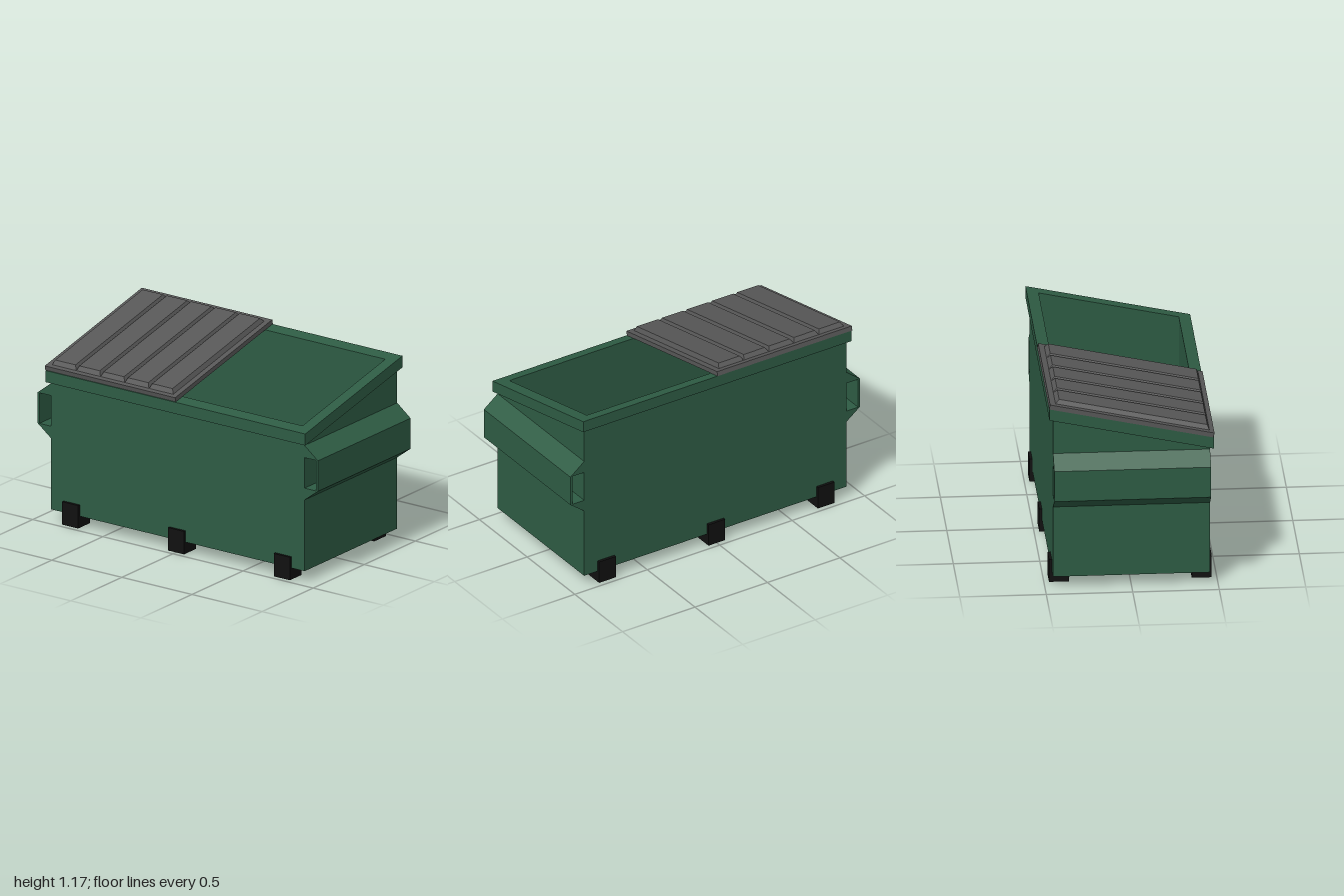
import * as THREE from 'three';

const SLOPE = 0.215; // rise of the rim per unit of x

// Rectangular hollow frame from y0 to y1; chosen vertices follow the slope
function slopedFrame(halfX, halfZ, y0, y1, slopeBottom) {
  const rect = (P, x, z) => new P([[-x, -z], [x, -z], [x, z], [-x, z]].map(p => new THREE.Vector2(...p)));
  const shape = rect(THREE.Shape, halfX, halfZ);
  shape.holes.push(rect(THREE.Path, 0.405, 0.855));
  const geo = new THREE.ExtrudeGeometry(shape, { depth: y1 - y0, bevelEnabled: false });
  geo.rotateX(-Math.PI / 2).translate(0, y0, 0);
  const p = geo.attributes.position;
  const mid = (y0 + y1) / 2;
  for (let i = 0; i < p.count; i++) {
    if (slopeBottom || p.getY(i) > mid) p.setY(i, p.getY(i) + SLOPE * p.getX(i));
  }
  geo.computeVertexNormals();
  return geo;
}

// Box whose top face is drawn in to leave bevelled sides
function bevelledPanel(w, h, d, bevelX, bevelZ) {
  const geo = new THREE.BoxGeometry(w, h, d).toNonIndexed();
  const p = geo.attributes.position;
  for (let i = 0; i < p.count; i++) {
    if (p.getY(i) > 0) {
      p.setX(i, p.getX(i) - Math.sign(p.getX(i)) * bevelX);
      p.setZ(i, p.getZ(i) - Math.sign(p.getZ(i)) * bevelZ);
    }
  }
  geo.computeVertexNormals();
  return geo;
}

export function createModel() {
  const green = new THREE.MeshStandardMaterial({ name: 'green paint', color: 0x2e5c44 });
  const grey = new THREE.MeshStandardMaterial({ name: 'grey plastic', color: 0x575757 });
  const black = new THREE.MeshStandardMaterial({ name: 'black steel', color: 0x101010 });

  const model = new THREE.Group();
  model.name = 'wasteContainer';
  const add = (parent, name, geo, mat, x = 0, y = 0, z = 0) => {
    const mesh = new THREE.Mesh(geo, mat);
    mesh.name = name;
    mesh.position.set(x, y, z);
    parent.add(mesh);
    return mesh;
  };

  // Open bin with a sloping top edge, floor and overhanging rim
  add(model, 'binWalls', slopedFrame(0.4535, 0.905, 0.07, 0.952, false), green);
  add(model, 'binFloor', new THREE.BoxGeometry(0.81, 0.04, 1.71), green, 0, 0.09, 0);
  add(model, 'rim', slopedFrame(0.476, 0.926, 0.952, 1.0225, true), green);

  // Hollow lifting sleeves across the front and back, profile in (z, y)
  const profile = new THREE.Shape([
    [0.904, 0.505], [1, 0.578], [1, 0.765], [0.904, 0.84],
    [0.904, 0.765], [0.986, 0.765], [0.986, 0.578], [0.904, 0.578],
  ].map(p => new THREE.Vector2(...p)));
  const sleeve = new THREE.ExtrudeGeometry(profile, { depth: 0.907, bevelEnabled: false });
  sleeve.translate(0, 0, -0.4535).rotateY(-Math.PI / 2);
  add(model, 'frontSleeve', sleeve, green);
  add(model, 'backSleeve', sleeve, green).rotation.y = Math.PI;

  // Feet: a block under the floor and a tab up the side wall
  const block = new THREE.BoxGeometry(0.115, 0.07, 0.115);
  const tab = new THREE.BoxGeometry(0.0165, 0.07, 0.115);
  for (const side of [-1, 1]) {
    for (const z of [-0.755, 0, 0.755]) {
      const foot = new THREE.Group();
      foot.name = 'foot';
      add(foot, 'footBlock', block, black, side * 0.4125, 0.035, z);
      add(foot, 'footTab', tab, black, side * 0.46175, 0.105, z);
      model.add(foot);
    }
  }

  // Closed half lid with five raised panels
  const lid = new THREE.Group();
  lid.name = 'lid';
  lid.position.set(0.003, 1.0235, 0);
  lid.rotation.z = Math.atan(SLOPE);
  add(lid, 'lidSlab', new THREE.BoxGeometry(0.972, 0.028, 0.93), grey, 0, 0.014, -0.465);
  const pitch = 0.173;
  const panel = bevelledPanel(0.91, 0.026, pitch - 0.002, 0.017, 0.013);
  for (let i = 0; i < 5; i++) {
    add(lid, 'lidPanel', panel, grey, -0.003, 0.041, -0.033 - pitch * (i + 0.5));
  }
  model.add(lid);

  return model;
}
